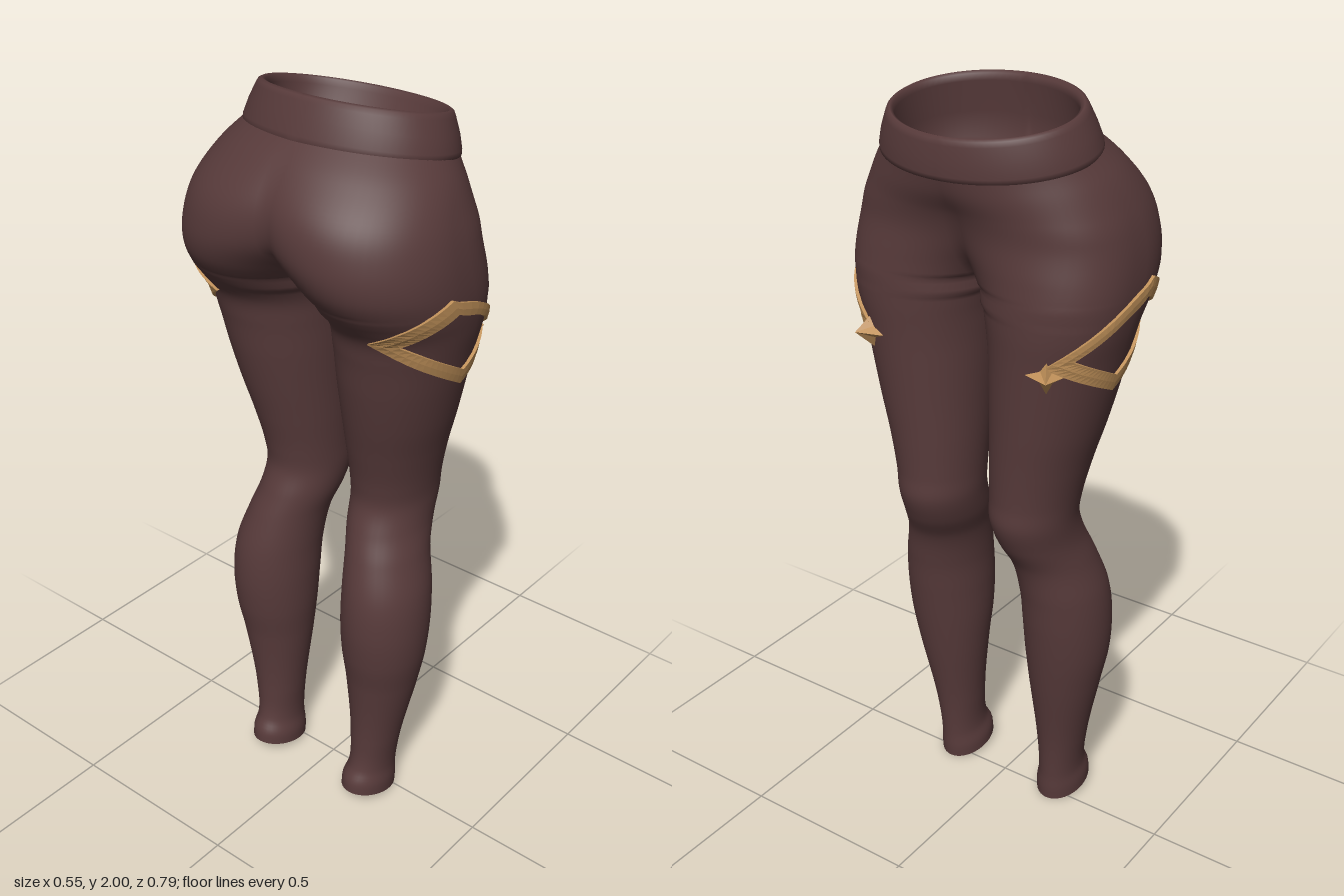
import * as THREE from 'three';
import { mergeGeometries, mergeVertices } from 'three/addons/utils/BufferGeometryUtils.js';

const fabric = new THREE.MeshStandardMaterial({ color: 0x573a3a, side: THREE.DoubleSide });
fabric.name = 'maroon fabric';
const gold = new THREE.MeshStandardMaterial({ color: 0xbf9059 });
gold.name = 'gold trim';

const { smoothstep } = THREE.MathUtils;

// Leg and hip sections: height, back x, front x, inner z, outer z
const SECTIONS = [
  [0.018, -0.138, 0.04, 0.102, 0.235],
  [0.05, -0.134, 0.042, 0.103, 0.235],
  [0.09, -0.115, 0.042, 0.113, 0.23],
  [0.2, -0.105, 0.052, 0.11, 0.243],
  [0.4, -0.12, 0.085, 0.09, 0.285],
  [0.5, -0.137, 0.1, 0.08, 0.304],
  [0.6, -0.144, 0.113, 0.076, 0.309],
  [0.7, -0.135, 0.125, 0.074, 0.3],
  [0.8, -0.105, 0.146, 0.064, 0.272],
  [0.87, -0.077, 0.183, 0.046, 0.255],
  [0.94, -0.052, 0.208, 0.037, 0.253],
  [1.0, -0.056, 0.207, 0.035, 0.26],
  [1.1, -0.078, 0.21, 0.031, 0.282],
  [1.2, -0.103, 0.215, 0.028, 0.31],
  [1.3, -0.125, 0.22, 0.024, 0.335],
  [1.4, -0.143, 0.225, 0.02, 0.358],
  [1.47, -0.162, 0.229, 0.015, 0.374],
  [1.535, -0.213, 0.229, 0, 0.384],
  [1.6, -0.256, 0.224, -0.04, 0.385],
  [1.68, -0.274, 0.22, -0.12, 0.375],
  [1.75, -0.259, 0.23, -0.175, 0.355],
  [1.82, -0.2, 0.25, -0.25, 0.32],
  [1.875, -0.135, 0.262, -0.275, 0.275],
];
const spline = new THREE.CubicInterpolant(
  SECTIONS.map(s => s[0]), SECTIONS.flatMap(s => s.slice(1)), 4);

function sectionAt(y) {
  const [xb, xf, zi, zo] = spline.evaluate(y);
  const touching = y > 1.5 && Math.abs(zi) < 0.008;
  return [y, xb, xf, touching ? 0 : zi, zo];
}

// Waist and hems slope down toward the front
const tilt = y => 0.19 * (1 - smoothstep(y, 0.05, 0.2)) + 0.21 * smoothstep(y, 1.65, 1.93);

// Point on a section; angle 0 is the outer side, positive is the front
function sectionPoint([y, xb, xf, zi, zo], angle, grow = 0) {
  const xc = (xb + xf) / 2, rx = (xf - xb) / 2 + grow;
  const cz = (zi + zo) / 2, rz = (zo - zi) / 2 + grow;
  const full = 1 - 0.3 * smoothstep(y, 1.35, 1.6) * (1 - smoothstep(y, 1.7, 1.86));
  const s = Math.sin(angle);
  const dx = rx * (s > 0 ? s ** full : s);
  return [xc + dx, y - tilt(y) * dx, cz + rz * Math.cos(angle)];
}

// Quad grid from a point rule; side -1 mirrors it across z
function grid(rows, cols, pointAt, side) {
  const position = [], index = [];
  for (let j = 0; j <= rows; j++) {
    for (let i = 0; i <= cols; i++) {
      const [x, y, z] = pointAt(j, i);
      position.push(x, y, z * side);
      if (j === rows || i === cols) continue;
      const a = j * (cols + 1) + i, b = a + 1, c = a + cols + 1, d = c + 1;
      if (side > 0) index.push(a, b, d, a, d, c);
      else index.push(a, d, b, a, c, d);
    }
  }
  const geometry = new THREE.BufferGeometry();
  geometry.setAttribute('position', new THREE.Float32BufferAttribute(position, 3));
  geometry.setIndex(index);
  return geometry;
}

// Skin both halves through the sections, cut at the middle where they overlap
function loft(sections, cols = 40) {
  const half = side => grid(sections.length - 1, cols, (j, i) => {
    const [, , , zi, zo] = sections[j];
    const limit = zi >= 0 ? Math.PI : Math.acos(THREE.MathUtils.clamp((zi + zo) / (zi - zo), -1, 1));
    const p = sectionPoint(sections[j], limit * (2 * i / cols - 1));
    if (zi <= 0 && (i === 0 || i === cols)) p[2] = 0;
    return p;
  }, side);
  const geometry = mergeVertices(mergeGeometries([half(1), half(-1)]), 1e-5);
  geometry.computeVertexNormals();
  return geometry;
}

// Diamond strap corners: angle around the thigh, height
const STRAP_OUTER = [[-1.35, 1.475], [-0.15, 1.587], [1.17, 1.412], [0.05, 1.323]];
const STRAP_INNER = [[-0.95, 1.473], [-0.12, 1.545], [0.8, 1.43], [0.05, 1.365]];

function strapGeometry(side) {
  const steps = 14, count = 4 * steps;
  const along = (corners, k) => {
    const c = Math.floor(k / steps) % 4, t = (k % steps) / steps;
    const [a, b] = [corners[c], corners[(c + 1) % 4]];
    return [a[0] + (b[0] - a[0]) * t, a[1] + (b[1] - a[1]) * t];
  };
  // Across the strap: edge, raised face, edge
  const profile = [[0, -0.004], [0, 0.008], [0.5, 0.009], [1, 0.008], [1, -0.004]];
  const geometry = grid(count, profile.length - 1, (k, i) => {
    const o = along(STRAP_OUTER, k), n = along(STRAP_INNER, k);
    const [t, lift] = profile[i];
    const angle = o[0] + (n[0] - o[0]) * t, y = o[1] + (n[1] - o[1]) * t;
    return sectionPoint(sectionAt(y), angle, lift);
  }, -side);
  // The loop runs clockwise seen from outside, so the faces are mirrored back
  geometry.scale(1, 1, -1);
  const idx = geometry.index.array;
  for (let k = 0; k < idx.length; k += 3) [idx[k + 1], idx[k + 2]] = [idx[k + 2], idx[k + 1]];
  return orient(geometry, side);
}

// Make faces point away from the thigh, then shade each one flat
function orient(geometry, side) {
  const flat = geometry.toNonIndexed();
  flat.computeVertexNormals();
  const n = flat.attributes.normal;
  let sum = 0;
  for (let k = 0; k < n.count; k++) sum += n.getZ(k) * side;
  if (sum < 0) {
    const idx = geometry.index.array;
    for (let k = 0; k < idx.length; k += 3) [idx[k + 1], idx[k + 2]] = [idx[k + 2], idx[k + 1]];
    return orient(geometry, side);
  }
  return flat;
}

// Four-pointed pyramid stud
function studGeometry(side) {
  const cone = new THREE.ConeGeometry(0.05, 0.055, 8, 1);
  const p = cone.attributes.position;
  for (let k = 0; k < p.count; k++) {
    const x = p.getX(k), z = p.getZ(k);
    if (Math.abs(x) > 0.01 && Math.abs(z) > 0.01) p.setXYZ(k, x * 0.5, p.getY(k), z * 0.5);
  }
  cone.rotateX(Math.PI / 2);
  cone.rotateY(side > 0 ? 1.03 : Math.PI - 1.03);
  const geometry = cone.toNonIndexed();
  geometry.computeVertexNormals();
  return geometry.translate(0.222, 1.388, 0.268 * side);
}

export function createModel() {
  const model = new THREE.Group();
  model.name = 'leggings';
  const add = (name, geometry, material) => {
    const mesh = new THREE.Mesh(geometry, material);
    mesh.name = name;
    model.add(mesh);
  };

  // Legs and hips
  const rings = 200, low = 0.018, high = 1.875;
  add('legsAndHips', loft(Array.from({ length: rings + 1 },
    (_, k) => sectionAt(low + (high - low) * k / rings))), fabric);

  // Hems turned up inside the ankles
  add('hems', loft([
    [0.12, -0.1, 0.03, 0.122, 0.22],
    [0.03, -0.118, 0.022, 0.118, 0.22],
    [0.02, -0.123, 0.026, 0.114, 0.224],
    [0.018, -0.138, 0.04, 0.102, 0.235],
  ]), fabric);

  // Waistband with rounded rim and inner lining
  const band = [
    [1.858, -0.142, 0.262, 0.276], [1.862, -0.148, 0.27, 0.284], [1.875, -0.145, 0.272, 0.283],
    [1.91, -0.13, 0.271, 0.272], [1.945, -0.116, 0.268, 0.256], [1.956, -0.11, 0.265, 0.25],
    [1.96, -0.1, 0.257, 0.243], [1.956, -0.09, 0.25, 0.235], [1.94, -0.088, 0.245, 0.233],
    [1.87, -0.1, 0.21, 0.235], [1.815, -0.1, 0.172, 0.232], [1.81, -0.085, 0.165, 0.22],
    [1.805, 0, 0.1, 0.1], [1.805, 0.049, 0.051, 0.001],
  ];
  add('waistband', loft(band.map(([y, xb, xf, z]) => [y, xb, xf, -z, z])), fabric);

  // Thigh ornaments
  for (const [label, side] of [['front', 1], ['back', -1]]) {
    add(`${label}ThighStrap`, strapGeometry(side), gold);
    add(`${label}ThighStud`, studGeometry(side), gold);
  }
  return model;
}
